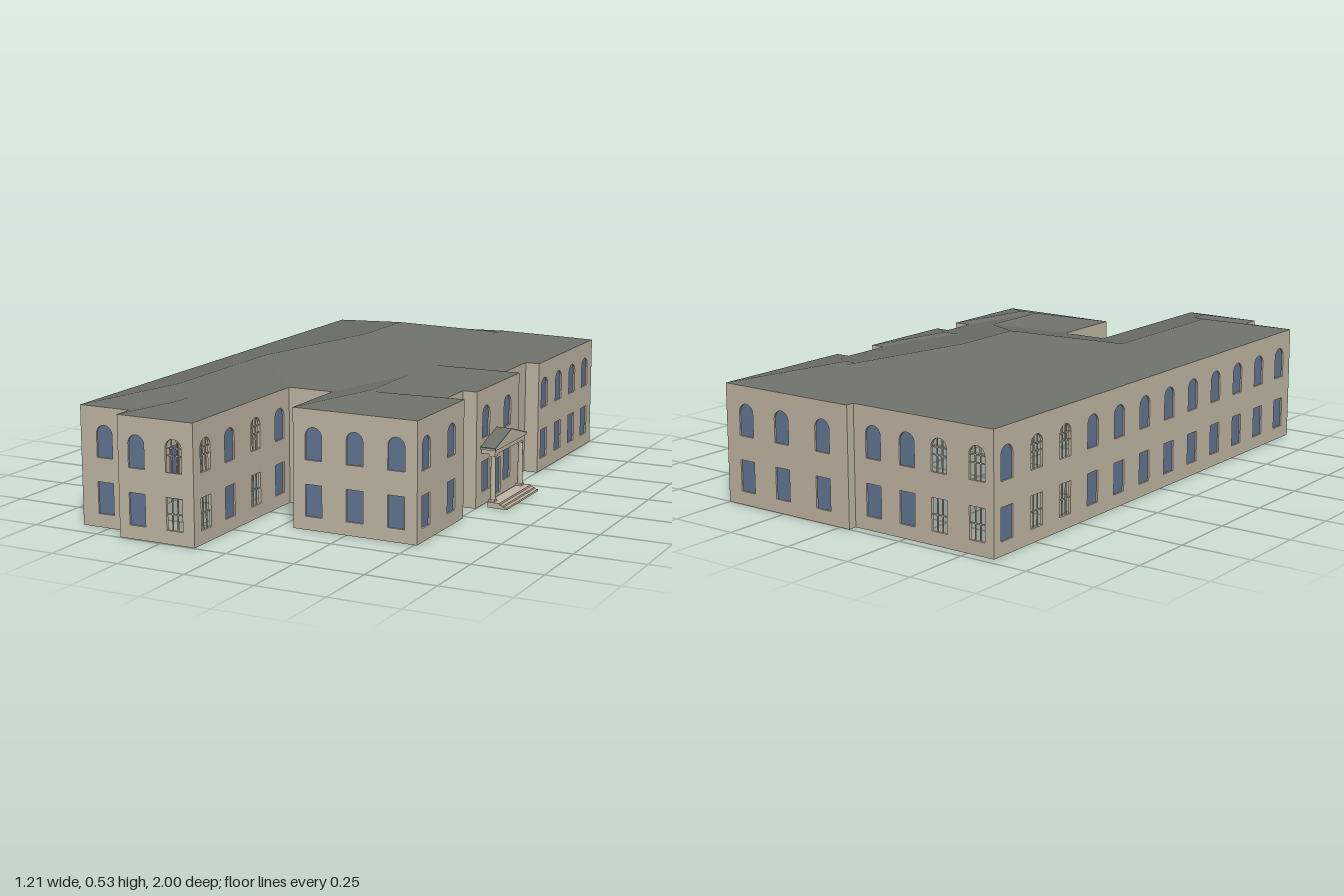
import * as THREE from 'three';

const EAVE = 0.417, PITCH = 0.211, THICK = 0.01, WIN_W = 0.062;

const mat = (name, color, side = THREE.FrontSide) => {
  const m = new THREE.MeshStandardMaterial({ color, side });
  m.name = name;
  return m;
};

export function createModel() {
  const stone = mat('stone', 0xc2b7a4, THREE.DoubleSide);
  const slate = mat('slate', 0x6e716a, THREE.DoubleSide);
  const glass = mat('glass', 0x637794, THREE.DoubleSide);

  const model = new THREE.Group();
  model.name = 'building';
  const add = (parent, name, geo, material, x = 0, y = 0, z = 0) => {
    const m = new THREE.Mesh(geo, material);
    m.name = name;
    m.position.set(x, y, z);
    parent.add(m);
    return m;
  };
  const box = (parent, name, material, x0, x1, y0, y1, z0, z1) =>
    add(parent, name, new THREE.BoxGeometry(x1 - x0, y1 - y0, z1 - z0), material,
      (x0 + x1) / 2, (y0 + y1) / 2, (z0 + z1) / 2);

  // Opening outline, with a round head when arched
  const outline = (Type, u, w, y0, y1, arched) => {
    const s = new Type(), r = w / 2;
    s.moveTo(u - r, y0);
    s.lineTo(u + r, y0);
    if (arched) {
      s.lineTo(u + r, y1 - r);
      s.absarc(u, y1 - r, r, 0, Math.PI, false);
    } else {
      s.lineTo(u + r, y1);
      s.lineTo(u - r, y1);
    }
    s.closePath();
    return s;
  };

  // Wall corners in order: x, z, glazed window positions, unglazed positions
  const westWindows = Array.from({ length: 12 }, (_, i) => -0.9 + i * 0.1585);
  const corners = [
    [-0.605, 0.925, [-0.511], []],
    [-0.41, 0.925, [], []],
    [-0.41, 0.995, [-0.339], [-0.195]],
    [-0.12, 0.995, [0.767, 0.43], [0.92, 0.596]],
    [-0.12, 0.36, [-0.036], []],
    [0.05, 0.36, [0.5], []],
    [0.05, 0.64, [0.127, 0.281, 0.434], []],
    [0.51, 0.64, [0.572, 0.372], []],
    [0.51, 0.27, [], []],
    [0.447, 0.27, [], []],
    [0.447, 0.14, [], []],
    [0.5, 0.14, [0.056, -0.136], [], -0.04],
    [0.5, -0.243, [], []],
    [0.447, -0.243, [-0.33], []],
    [0.447, -0.435, [], []],
    [0.5, -0.435, [-0.495, -0.64, -0.783, -0.922], []],
    [0.5, -1, [0.41, 0.25, 0.07], []],
    [-0.04, -1, [], []],
    [-0.04, -0.968, [-0.12, -0.26], [-0.39, -0.54]],
    [-0.605, -0.968, westWindows.filter((_, i) => i !== 1 && i !== 2), westWindows.slice(1, 3)],
  ];

  corners.forEach(([x0, z0, glazed, open, door], i) => {
    const [x1, z1] = corners[(i + 1) % corners.length];
    const length = Math.hypot(x1 - x0, z1 - z0);
    const start = Math.abs(x1 - x0) > Math.abs(z1 - z0) ? x0 : z0;
    const wall = new THREE.Group();
    wall.name = 'wallSection';
    wall.position.set(x0, 0, z0);
    wall.rotation.y = Math.atan2(z0 - z1, x1 - x0);
    model.add(wall);

    // Two storeys of openings, plus the door if there is one
    const openings = [];
    for (const c of [...glazed, ...open]) {
      const u = Math.abs(c - start), isOpen = open.includes(c);
      openings.push({ name: 'lowerWindow', args: [u, WIN_W, 0.047, 0.158, false], isOpen });
      openings.push({ name: 'upperWindow', args: [u, WIN_W, 0.242, 0.355, true], isOpen });
    }
    if (door !== undefined) {
      openings.push({ name: 'door', args: [Math.abs(door - start), 0.08, 0.012, 0.142, false] });
    }

    const face = new THREE.Shape();
    face.moveTo(0, 0);
    face.lineTo(length, 0);
    face.lineTo(length, EAVE);
    face.lineTo(0, EAVE);
    face.closePath();
    face.holes = openings.map(o => outline(THREE.Path, ...o.args));
    const geo = new THREE.ExtrudeGeometry(face, { depth: THICK, bevelEnabled: false, curveSegments: 10 });
    add(wall, 'wall', geo, stone, 0, 0, -THICK);

    for (const { name, args, isOpen } of openings) {
      if (!isOpen) {
        add(wall, name, new THREE.ShapeGeometry(outline(THREE.Shape, ...args), 10), glass, 0, 0, -THICK * 0.6);
        continue;
      }
      // Bare glazing bars
      const [u, w, y0, y1, arched] = args, top = arched ? y1 - 0.003 : y1;
      for (const k of [-1, 1]) {
        const c = u + k * w / 6;
        box(wall, 'windowBar', stone, c - 0.002, c + 0.002, y0, top, -0.008, -0.004);
      }
      const mid = (y0 + y1) / 2;
      box(wall, 'windowBar', stone, u - w / 2, u + w / 2, mid - 0.002, mid + 0.002, -0.008, -0.004);
      if (arched) {
        const spring = y1 - w / 2;
        box(wall, 'windowBar', stone, u - w / 2, u + w / 2, spring - 0.002, spring + 0.002, -0.008, -0.004);
      }
    }
  });

  // Hipped roof of constant pitch over a rectangle
  const hipRoof = (name, x0, x1, z0, z1) => {
    const h = Math.min(x1 - x0, z1 - z0) / 2, y = EAVE + h * PITCH;
    const a = [x0, EAVE, z0], b = [x1, EAVE, z0], c = [x1, EAVE, z1], d = [x0, EAVE, z1];
    const alongX = x1 - x0 > z1 - z0;
    const p = [x0 + h, y, z0 + h], q = [x1 - h, y, z1 - h];
    const faces = alongX
      ? [d, c, q, d, q, p, b, a, p, b, p, q, c, b, q, a, d, p]
      : [c, b, p, c, p, q, a, d, q, a, q, p, d, c, q, b, a, p];
    const geo = new THREE.BufferGeometry();
    geo.setAttribute('position', new THREE.Float32BufferAttribute(faces.flat(), 3));
    geo.computeVertexNormals();
    add(model, name, geo, slate);
  };
  hipRoof('mainRoof', -0.605, 0.447, -0.968, 0.36);
  hipRoof('backWingRoof', -0.04, 0.5, -1, -0.435);
  hipRoof('entranceBayRoof', 0.05, 0.5, -0.243, 0.14);
  hipRoof('shortWingRoof', 0.05, 0.447, -0.2, 0.64);
  hipRoof('shortWingBayRoof', 0.05, 0.51, 0.27, 0.64);
  hipRoof('longWingRoof', -0.605, -0.12, -0.3, 0.925);
  hipRoof('longWingBayRoof', -0.41, -0.12, 0.5, 0.995);

  // Entrance portico
  const portico = new THREE.Group();
  portico.name = 'portico';
  model.add(portico);
  const midZ = -0.04, half = 0.146;
  [[0.575, 0.02], [0.59, 0.013], [0.604, 0.007]].forEach(([x, h]) =>
    box(portico, 'step', stone, 0.53, x, 0, h, midZ - half, midZ + half));
  for (const s of [-1, 1]) {
    const z = midZ + s * 0.125;
    add(portico, 'column', new THREE.CylinderGeometry(0.008, 0.01, 0.16, 16), stone, 0.541, 0.105, z);
    box(portico, 'columnBase', stone, 0.529, 0.553, 0.02, 0.027, z - 0.012, z + 0.012);
    box(portico, 'columnCapital', stone, 0.529, 0.553, 0.182, 0.19, z - 0.012, z + 0.012);
    box(portico, 'sideBeam', stone, 0.5, 0.53, 0.19, 0.208, z - 0.01, z + 0.01);
  }
  box(portico, 'frontBeam', stone, 0.53, 0.553, 0.19, 0.208, midZ - 0.137, midZ + 0.137);

  // Gable and its thin roof, drawn across the portico and extruded outward
  const gable = (name, points, depth, material) => {
    const geo = new THREE.ExtrudeGeometry(
      new THREE.Shape(points.map(([u, y]) => new THREE.Vector2(u, y))), { depth, bevelEnabled: false });
    add(portico, name, geo, material, 0.5, 0, midZ).rotation.y = Math.PI / 2;
  };
  gable('pediment', [[-half, 0.206], [half, 0.206], [half, 0.211], [0, 0.254], [-half, 0.211]], 0.057, stone);
  gable('porticoRoof', [[-half, 0.211], [0, 0.254], [half, 0.211], [half, 0.215], [0, 0.258], [-half, 0.215]], 0.057, slate);

  return model;
}
